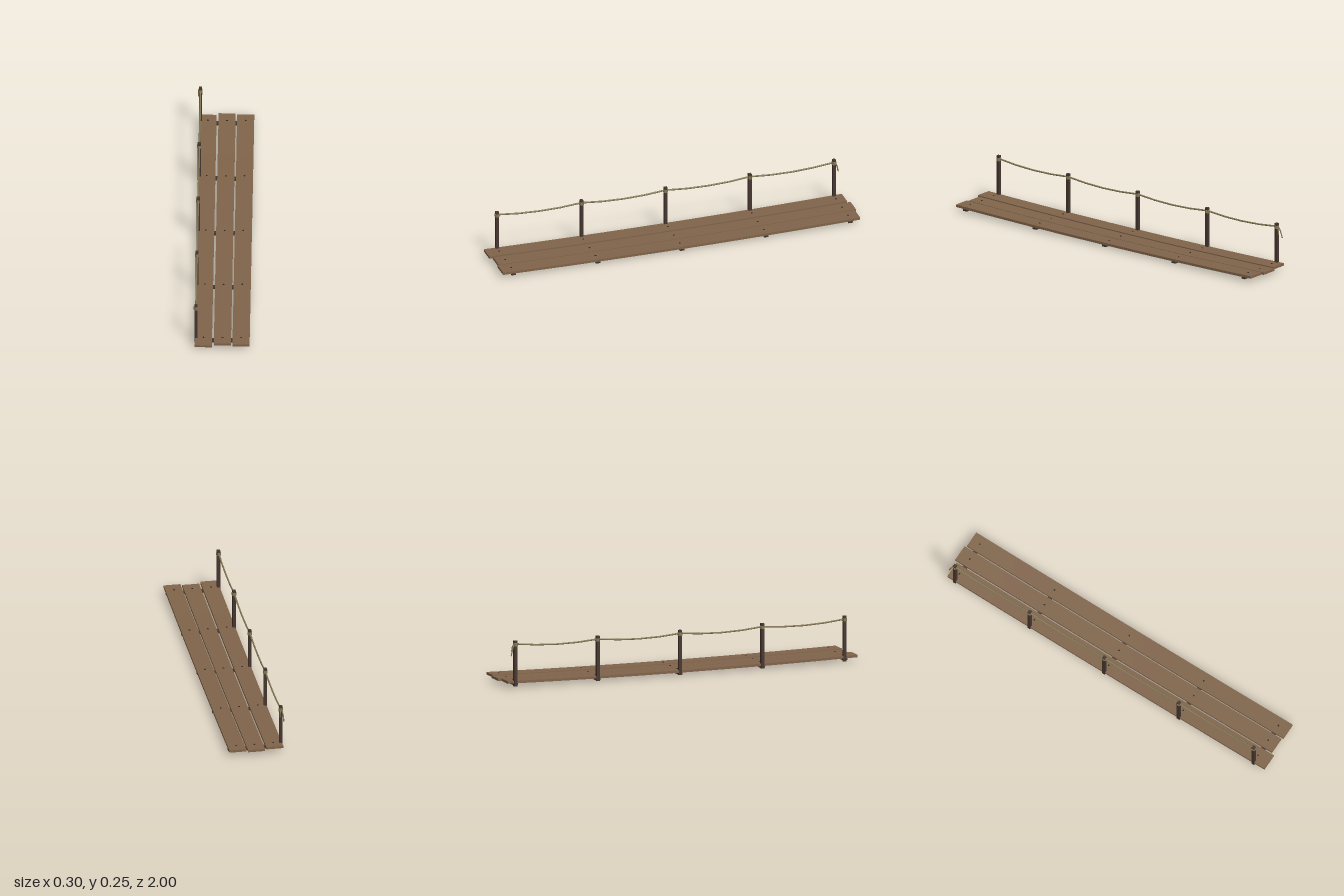
import * as THREE from 'three';

const mat = (name, color) => {
  const m = new THREE.MeshStandardMaterial({ color });
  m.name = name;
  return m;
};

export function createModel() {
  const plankWood = mat('plankWood', 0x80644a);
  const darkWood = mat('darkWood', 0x46362f);
  const ropeFibre = mat('ropeFibre', 0x877b58);
  const iron = mat('iron', 0x2b2726);

  const group = new THREE.Group();
  group.name = 'plankWalkway';
  const add = (name, geometry, material, x = 0, y = 0, z = 0) => {
    const mesh = new THREE.Mesh(geometry, material);
    mesh.name = name;
    mesh.position.set(x, y, z);
    group.add(mesh);
    return mesh;
  };

  // the whole deck hangs slightly lower in the middle
  const sag = (z) => 0.011 * z * z;
  const spacing = 0.467;
  const postX = -0.1345;

  // three long planks, bent along the sag
  const planks = [
    { x: -0.095, z0: -0.985, z1: 1.0, top: 0.0255 },
    { x: 0.005, z0: -1.0, z1: 0.982, top: 0.024 },
    { x: 0.103, z0: -0.99, z1: 0.99, top: 0.0255 },
  ];
  for (const { x, z0, z1, top } of planks) {
    const g = new THREE.BoxGeometry(0.09, 0.013, z1 - z0, 1, 1, 12);
    g.translate(x, top - 0.0065, (z0 + z1) / 2);
    const p = g.attributes.position;
    for (let i = 0; i < p.count; i++) p.setY(i, p.getY(i) + sag(p.getZ(i)));
    g.computeVertexNormals();
    add('plank', g, plankWood);
  }

  const ropePoints = [];
  for (let k = -2; k <= 2; k++) {
    const beamZ = k * spacing - 0.004;
    const postZ = k * spacing - 0.006;
    const dy = sag(postZ);

    // cross beam under the planks
    add('crossBeam', new THREE.BoxGeometry(0.284, 0.011, 0.024), darkWood, 0.005, 0.0075 + dy, beamZ);

    // one nail head per plank
    for (const { x, top } of planks) {
      add('nail', new THREE.CylinderGeometry(0.0045, 0.0045, 0.004, 8), iron, x, top + dy + 0.0005, beamZ);
    }

    // railing post with its rope binding
    const bottom = dy * 0.6, height = 0.24 + dy - bottom;
    add('post', new THREE.BoxGeometry(0.017, height, 0.017), darkWood, postX, bottom + height / 2, postZ);
    const binding = new THREE.CylinderGeometry(0.0128, 0.0128, 0.017, 8);
    binding.rotateY(Math.PI / 8);
    add('ropeBinding', binding.toNonIndexed(), ropeFibre, postX, 0.2195 + dy, postZ);

    // rope knots at the post, then the drooping span
    ropePoints.push(new THREE.Vector3(postX, 0.2225 + dy, postZ));
    if (k < 2) {
      const next = sag((k + 1) * spacing - 0.006);
      for (const t of [0.25, 0.5, 0.75]) {
        const y = 0.2225 + dy + (next - dy) * t - 0.014 * 4 * t * (1 - t);
        ropePoints.push(new THREE.Vector3(postX, y, postZ + t * spacing));
      }
    }
  }

  // hand rope as straight links
  const path = new THREE.CurvePath();
  for (let i = 1; i < ropePoints.length; i++) path.add(new THREE.LineCurve3(ropePoints[i - 1], ropePoints[i]));
  add('handRope', new THREE.TubeGeometry(path, 64, 0.0045, 6), ropeFibre);

  // loose rope ends at the rear post
  const tails = [
    [[-0.138, 0.23, -0.95], [-0.143, 0.208, -0.958], [-0.146, 0.172, -0.968]],
    [[-0.131, 0.226, -0.95], [-0.128, 0.21, -0.956], [-0.127, 0.192, -0.957]],
  ];
  for (const pts of tails) {
    const curve = new THREE.CatmullRomCurve3(pts.map((p) => new THREE.Vector3(...p)));
    const tail = add('ropeTail', new THREE.TubeGeometry(curve, 6, 0.0032, 6), ropeFibre);
    const cap = new THREE.Mesh(new THREE.SphereGeometry(0.0032, 6, 4), ropeFibre);
    cap.name = 'ropeTailEnd';
    cap.position.set(...pts[2]);
    tail.add(cap);
  }
  return group;
}
